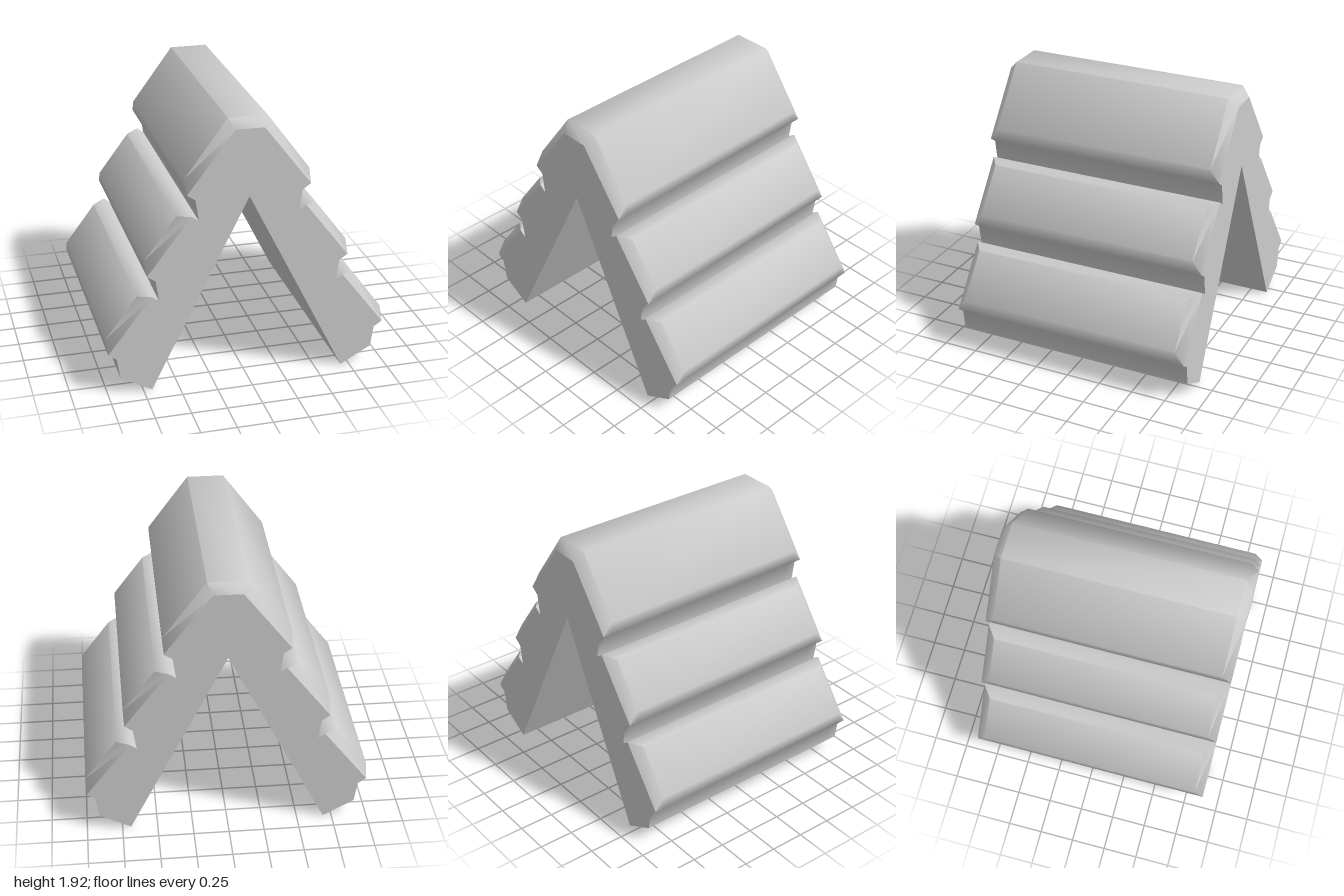
import * as THREE from 'three';
import { toCreasedNormals } from 'three/addons/utils/BufferGeometryUtils.js';

const HALF = 0.88;      // half length of the roof
const BEVEL = 0.065;    // length of the chamfer at each end
const STEP = [0.28, -0.56]; // offset from one tile row to the next

// Right half of the outer profile, ridge to foot; 'cut' gives the chamfered end section
function halfProfile(cut) {
  const pts = [cut ? [0.10, 1.86] : [0.135, 1.925]];
  for (let row = 0; row < 3; row++) {
    const at = (x, y) => [x + STEP[0] * row, y + STEP[1] * row];
    const top = at(0.12, 1.835), lip = at(0.43, 1.43);
    if (row > 0) pts.push(at(0.07, 1.80), top, cut ? top : at(0.21, 1.82));
    pts.push(cut ? lip : at(0.435, 1.52), lip, at(0.372, 1.39));
  }
  pts.push([0.91, 0.12]);
  return pts;
}

// Left foot, over the ridge, to right foot
function outerProfile(cut) {
  const right = halfProfile(cut);
  return [...right.map(([x, y]) => [-x, y]).reverse(), ...right];
}

// Skin between successive sections, skipping collapsed triangles
function loft(sections) {
  const pos = [];
  const tri = (a, b, c) => {
    const area = b.clone().sub(a).cross(c.clone().sub(a)).length();
    if (area > 1e-7) for (const p of [a, b, c]) pos.push(p.x, p.y, p.z);
  };
  for (let k = 0; k < sections.length - 1; k++) {
    const [s, t] = [sections[k], sections[k + 1]].map(({ pts, z }) =>
      pts.map(([x, y]) => new THREE.Vector3(x, y, z)));
    for (let i = 0; i < s.length - 1; i++) {
      tri(s[i], t[i], t[i + 1]);
      tri(s[i], t[i + 1], s[i + 1]);
    }
  }
  const geo = new THREE.BufferGeometry();
  geo.setAttribute('position', new THREE.Float32BufferAttribute(pos, 3));
  geo.computeVertexNormals();
  return geo;
}

export function createModel() {
  const group = new THREE.Group();
  const material = new THREE.MeshStandardMaterial({ color: 0xcccccc });
  const add = (name, geo) => {
    const mesh = new THREE.Mesh(geo, material);
    mesh.name = name;
    group.add(mesh);
    return mesh;
  };

  // Tiled outer surface with chamfered ends
  const full = outerProfile(false), end = outerProfile(true);
  const skin = loft([
    { pts: end, z: -HALF },
    { pts: full, z: BEVEL - HALF },
    { pts: full, z: HALF - BEVEL },
    { pts: end, z: HALF },
  ]);
  add('roofTiles', toCreasedNormals(skin, THREE.MathUtils.degToRad(56)));

  // Eave faces and inner slopes
  const under = [[0.91, 0.12], [0.69, 0], [0, 1.38], [-0.69, 0], [-0.91, 0.12]];
  add('roofUnderside', loft([{ pts: under, z: -HALF }, { pts: under, z: HALF }]));

  // Flat gable ends
  const outline = [...end, ...under.slice(1, -1)].map(([x, y]) => new THREE.Vector2(x, y));
  const gable = new THREE.ShapeGeometry(new THREE.Shape(outline));
  add('frontGable', gable).position.z = HALF;
  const back = add('backGable', gable);
  back.position.z = -HALF;
  back.rotation.y = Math.PI;

  return group;
}
